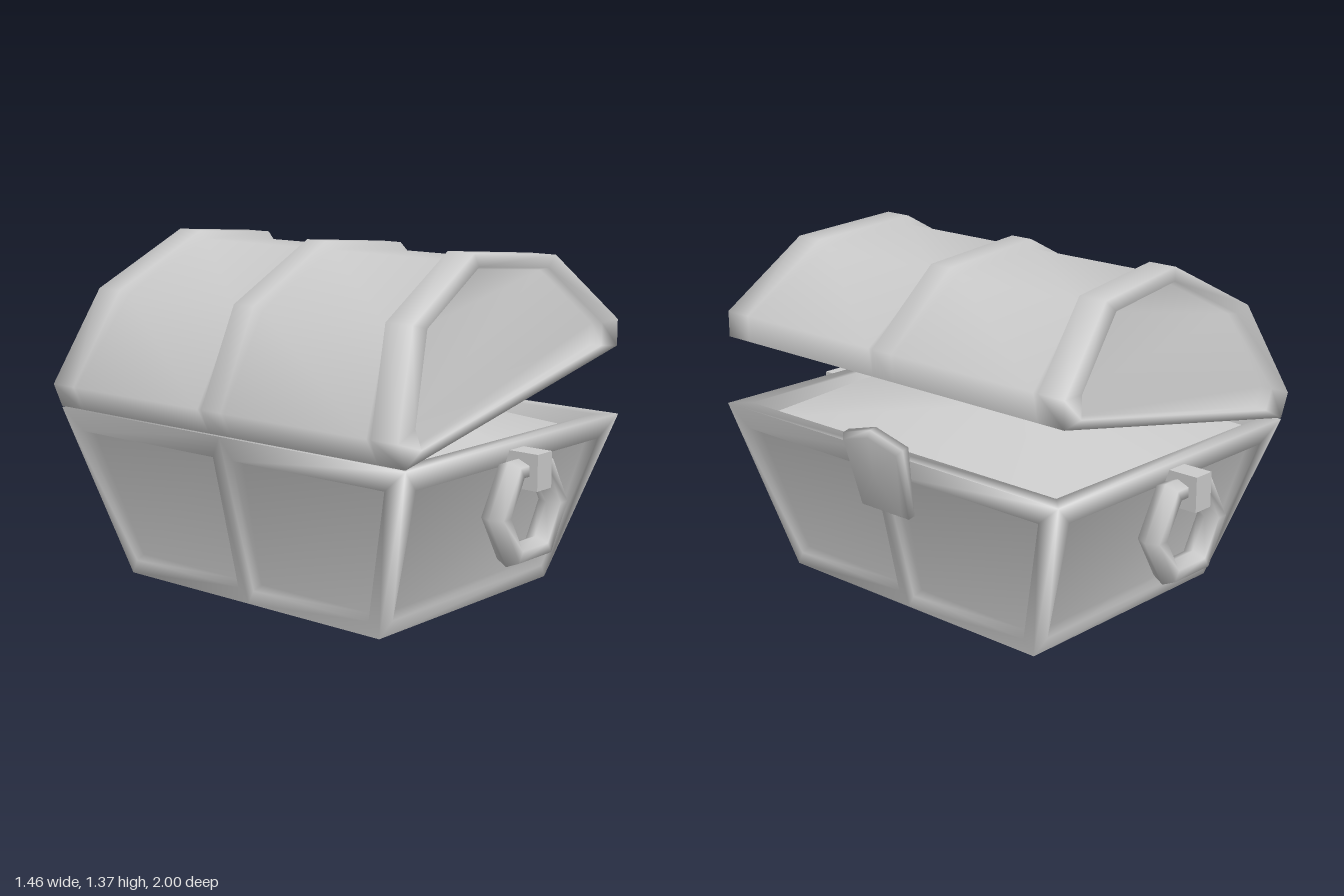
import * as THREE from 'three';
import { mergeVertices } from 'three/addons/utils/BufferGeometryUtils.js';

const V = (x, y, z) => new THREE.Vector3(x, y, z);
const mix = (a, b, t) => a.clone().lerp(b, t);
const material = new THREE.MeshStandardMaterial({ color: 0xcccccc });

// Collects triangles and turns them into one smooth-shaded mesh
class Surface {
  constructor() { this.data = []; }
  tri(...p) { p.forEach(v => this.data.push(v.x, v.y, v.z)); }
  quad(a, b, c, d) { this.tri(a, b, c); this.tri(a, c, d); }
  // band between two closed loops
  band(A, B) {
    A.forEach((a, i) => {
      const j = (i + 1) % A.length;
      this.quad(a, A[j], B[j], B[i]);
    });
  }
  mesh(name, mat = material) {
    let g = new THREE.BufferGeometry();
    g.setAttribute('position', new THREE.Float32BufferAttribute(this.data, 3));
    g = mergeVertices(g, 1e-4);
    g.computeVertexNormals();
    const m = new THREE.Mesh(g, mat);
    m.name = name;
    return m;
  }
}

const rect = (x0, x1, z, y) => [V(x0, y, z), V(x1, y, z), V(x1, y, -z), V(x0, y, -z)];

// Flat face with a raised frame around a sunken panel
function framedPanel(s, a, b, c, d, u0, u1, v0, v1, depth) {
  const at = (u, v) => mix(mix(a, b, u), mix(d, c, u), v);
  const normal = b.clone().sub(a).cross(d.clone().sub(a)).normalize();
  const inner = [at(u0, v0), at(u1, v0), at(u1, v1), at(u0, v1)];
  const e = 0.02;
  const sunk = [at(u0 + e, v0 + e), at(u1 - e, v0 + e), at(u1 - e, v1 - e), at(u0 + e, v1 - e)]
    .map(p => p.addScaledVector(normal, -depth));
  s.band([a, b, c, d], inner);
  s.band(inner, sunk);
  s.quad(...sunk);
}

function createBody() {
  const group = new THREE.Group();
  group.name = 'body';
  const s = new Surface();
  const B = rect(-0.54, 0.51, 0.65, 0), T = rect(-0.69, 0.655, 0.885, 0.68);
  for (let i = 0; i < 4; i++) {
    const j = (i + 1) % 4;
    if (i % 2) {
      // long sides have a middle post
      const mb = mix(B[i], B[j], 0.5), mt = mix(T[i], T[j], 0.5);
      framedPanel(s, B[i], mb, mt, T[i], 0.09, 0.94, 0.09, 0.87, 0.035);
      framedPanel(s, mb, B[j], T[j], mt, 0.06, 0.91, 0.09, 0.87, 0.035);
    } else {
      framedPanel(s, B[i], B[j], T[j], T[i], 0.06, 0.94, 0.09, 0.87, 0.035);
    }
  }
  // rim and inner walls
  const I = rect(-0.62, 0.585, 0.815, 0.68), J = rect(-0.55, 0.515, 0.7, 0.3);
  s.band(T, I);
  s.band(I, J);
  group.add(s.mesh('chestWalls'));
  const floor = new Surface();
  floor.quad(B[3], B[2], B[1], B[0]);
  floor.quad(...J);
  group.add(floor.mesh('chestFloor'));
  return group;
}

// Heap filling the chest
function createHeap() {
  const s = new Surface();
  const edge = [V(-0.62, 0.65, 0.815), V(0, 0.645, 0.815), V(0.585, 0.61, 0.815), V(0.585, 0.61, 0),
    V(0.585, 0.6, -0.815), V(0, 0.62, -0.815), V(-0.62, 0.64, -0.815), V(-0.62, 0.67, 0)];
  const top = [V(-0.13, 0.79, 0.3), V(-0.03, 0.8, 0.3), V(0.2, 0.75, 0.25), V(0.2, 0.75, 0),
    V(0.15, 0.74, -0.25), V(-0.03, 0.76, -0.25), V(-0.15, 0.75, -0.2), V(-0.13, 0.79, 0)];
  s.band(edge, top);
  const peak = V(-0.03, 0.815, 0.02);
  top.forEach((p, i) => s.tri(p, top[(i + 1) % 8], peak));
  return s.mesh('treasureHeap');
}

function createLid() {
  const s = new Surface();
  // side profile with the half length at each point
  const profile = [[-0.69, 0.685, 0.885], [-0.73, 0.78, 0.885], [-0.55, 1.155, 0.8], [-0.14, 1.368, 0.755],
    [0.315, 1.33, 0.8], [0.63, 1.06, 0.885], [0.63, 0.955, 0.885]].map(p => V(...p));
  const center = V(-0.03, 0.82, 0);
  const inward = (p, dist) => {
    const dir = V(center.x - p.x, center.y - p.y, 0).normalize();
    return p.clone().addScaledVector(dir, dist);
  };
  // bands at both ends and the middle, shallow panels between them
  const half = [[e => e, 0], [e => e - 0.12, 0], [e => e - 0.14, 1], [() => 0.07, 1], [() => 0.05, 0]];
  const section = ([zOf, low], sign) => profile.map((p, i) => {
    const q = inward(p, low && i > 1 && i < 5 ? 0.035 : 0);
    return q.setZ(sign * zOf(p.z));
  });
  const sections = [...half.map(h => section(h, 1)), ...half.slice().reverse().map(h => section(h, -1))];
  for (let k = 0; k < sections.length - 1; k++) {
    const A = sections[k], C = sections[k + 1];
    for (let i = 0; i < 6; i++) s.quad(A[i], A[i + 1], C[i + 1], C[i]);
  }
  // end faces: frame and sunken panel
  const flip = p => V(p.x, p.y, -p.z);
  const both = (...p) => {
    s.quad(...p);
    s.quad(...p.map(flip).reverse());
  };
  const sheet = q => [[q[0], q[6], q[5], q[1]], [q[1], q[5], q[4], q[2]], [q[2], q[4], q[3], q[3]]];
  const mid = V(-0.04, 1.03, 0.83);
  const frame = profile.map(p => mix(p, mid, 0.15));
  const sunk = profile.map(p => mix(p, mid, 0.18).add(V(0, 0, -0.035)));
  for (let i = 0; i < 7; i++) {
    const j = (i + 1) % 7;
    both(profile[j], profile[i], frame[i], frame[j]);
    both(frame[j], frame[i], sunk[i], sunk[j]);
  }
  sheet(sunk).forEach(f => both(...f));

  // underside lip
  const inner = profile.map(p => mix(p, center, 0.1).setZ(p.z - 0.07));
  const O = [profile[0], profile[6], flip(profile[6]), flip(profile[0])];
  const L = [inner[0], inner[6], flip(inner[6]), flip(inner[0])];
  s.band(O.reverse(), L.reverse());
  // hollow inside
  for (let i = 0; i < 6; i++) s.quad(flip(inner[i]), flip(inner[i + 1]), inner[i + 1], inner[i]);
  sheet(inner).forEach(f => both(...f.slice().reverse()));
  return s.mesh('lid');
}

function createHandle(sign) {
  const group = new THREE.Group();
  group.name = sign > 0 ? 'frontHandle' : 'backHandle';
  const ring = new THREE.Mesh(new THREE.TorusGeometry(0.182, 0.046, 6, 6), material);
  ring.name = 'handleRing';
  ring.scale.z = 1.25;
  ring.position.set(-0.02, 0.428, sign * 0.915);
  const bracket = new THREE.Mesh(new THREE.BoxGeometry(0.09, 0.137, 0.17), material);
  bracket.name = 'handleBracket';
  bracket.position.set(-0.025, 0.583, sign * 0.915);
  group.add(ring, bracket);
  return group;
}

// Pointed plate hanging at the lock side
function createClasp() {
  const group = new THREE.Group();
  group.name = 'clasp';
  const outline = [[0.12, 0], [0.16, 0.305], [0, 0.352], [-0.16, 0.305], [-0.12, 0]];
  const s = new Surface();
  const layer = (x, k) => outline.map(([z, y]) => V(x, 0.17 + (y - 0.17) * k, z * k));
  const back = layer(0, 1), side = layer(0.03, 1), face = layer(0.052, 0.88);
  s.band(back.slice().reverse(), side.slice().reverse());
  s.band(side.slice().reverse(), face.slice().reverse());
  const c = V(0.055, 0.17, 0), b = V(0, 0.17, 0);
  for (let i = 0; i < 5; i++) {
    const j = (i + 1) % 5;
    s.tri(face[j], face[i], c);
    s.tri(back[i], back[j], b);
  }
  const plate = s.mesh('claspPlate', new THREE.MeshStandardMaterial({ color: 0xcccccc, side: THREE.DoubleSide }));
  plate.position.set(0.605, 0.442, -0.015);
  plate.rotation.z = -0.215;
  group.add(plate);
  return group;
}

export function createModel() {
  const model = new THREE.Group();
  model.name = 'treasureChest';
  model.add(createBody(), createHeap(), createLid(), createHandle(1), createHandle(-1), createClasp());
  return model;
}
